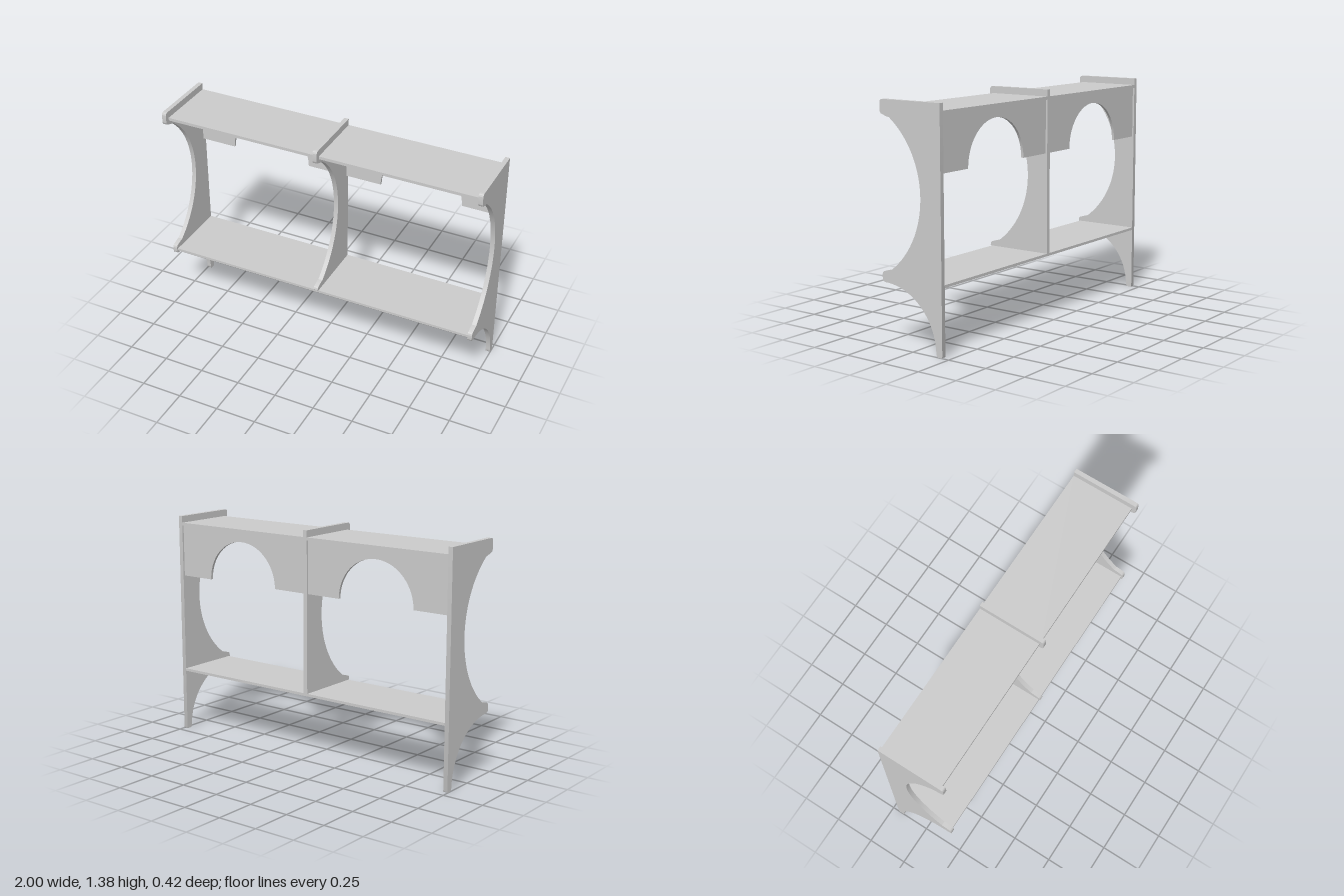
import * as THREE from 'three';
import { toCreasedNormals } from 'three/addons/utils/BufferGeometryUtils.js';

const T = 0.027;        // upright thickness
const BACK = -0.207;
const INNER = 1 - T;    // inner face of the side uprights

export function createModel() {
  const group = new THREE.Group();
  const material = new THREE.MeshStandardMaterial({ color: 0xcccccc });

  function add(name, geometry, x = 0, y = 0, z = 0) {
    const mesh = new THREE.Mesh(geometry, material);
    mesh.name = name;
    mesh.position.set(x, y, z);
    group.add(mesh);
  }

  function extrude(shape, depth, curveSegments) {
    const g = new THREE.ExtrudeGeometry(shape, { depth, bevelEnabled: false, curveSegments });
    g.translate(0, 0, -depth / 2);
    return toCreasedNormals(g, 0.5);
  }

  // Upright outline, drawn with shape x = model z
  function uprightShape(hasFoot) {
    const s = new THREE.Shape();
    s.moveTo(BACK, 1.375);
    s.lineTo(0.19, 1.375);
    s.quadraticCurveTo(0.21, 1.375, 0.21, 1.355);
    s.lineTo(0.21, 1.315);
    s.quadraticCurveTo(0.21, 1.298, 0.195, 1.294);
    // large concave front
    s.lineTo(0.16, 1.282);
    s.absarc(0.452, 0.86, 0.52, Math.PI - 0.94, Math.PI + 0.94, false);
    s.lineTo(0.16, 0.438);
    s.lineTo(0.195, 0.428);
    s.quadraticCurveTo(0.21, 0.423, 0.21, 0.405);
    if (hasFoot) {
      s.lineTo(0.21, 0.385);
      s.quadraticCurveTo(0.21, 0.368, 0.19, 0.367);
      // concave lower bracket down to the foot
      s.absarc(0.19, 0.01, 0.356, Math.PI / 2, Math.PI - 0.06, false);
      s.quadraticCurveTo(-0.166, 0.002, -0.178, 0);
      s.lineTo(-0.198, 0);
      s.quadraticCurveTo(BACK, 0, BACK, 0.01);
    } else {
      s.lineTo(0.205, 0.4);
      s.lineTo(BACK, 0.4);
    }
    s.closePath();
    return s;
  }

  // Uprights
  const uprights = [['rightSide', -1 + T / 2], ['centreDivider', 0], ['leftSide', 1 - T / 2]];
  for (const [name, x] of uprights) {
    const g = extrude(uprightShape(x !== 0), T, 24);
    g.rotateY(-Math.PI / 2);
    add(name, g, x);
  }

  // Lower shelf spans both bays
  add('lowerShelf', new THREE.BoxGeometry(2 * INNER, 0.016, 0.2 - BACK), 0, 0.392, (0.2 + BACK) / 2);

  // Arched back panel outline, centred on its bay
  const bay = INNER - T / 2;
  const panel = new THREE.Shape();
  panel.moveTo(-bay / 2, 1);
  panel.lineTo(-0.256, 1);
  panel.absarc(0, 1, 0.256, Math.PI, 0, true);
  panel.lineTo(bay / 2, 1);
  panel.lineTo(bay / 2, 1.316);
  panel.lineTo(-bay / 2, 1.316);
  panel.closePath();

  // Top shelf and back panel for each bay
  for (const [side, sign] of [['right', -1], ['left', 1]]) {
    const x = sign * (T / 2 + bay / 2);
    add(side + 'TopShelf', new THREE.BoxGeometry(bay, 0.018, 0.183 - BACK), x, 1.325, (0.183 + BACK) / 2);
    add(side + 'BackPanel', extrude(panel, 0.016, 32), x, 0, -0.188);
  }

  return group;
}
